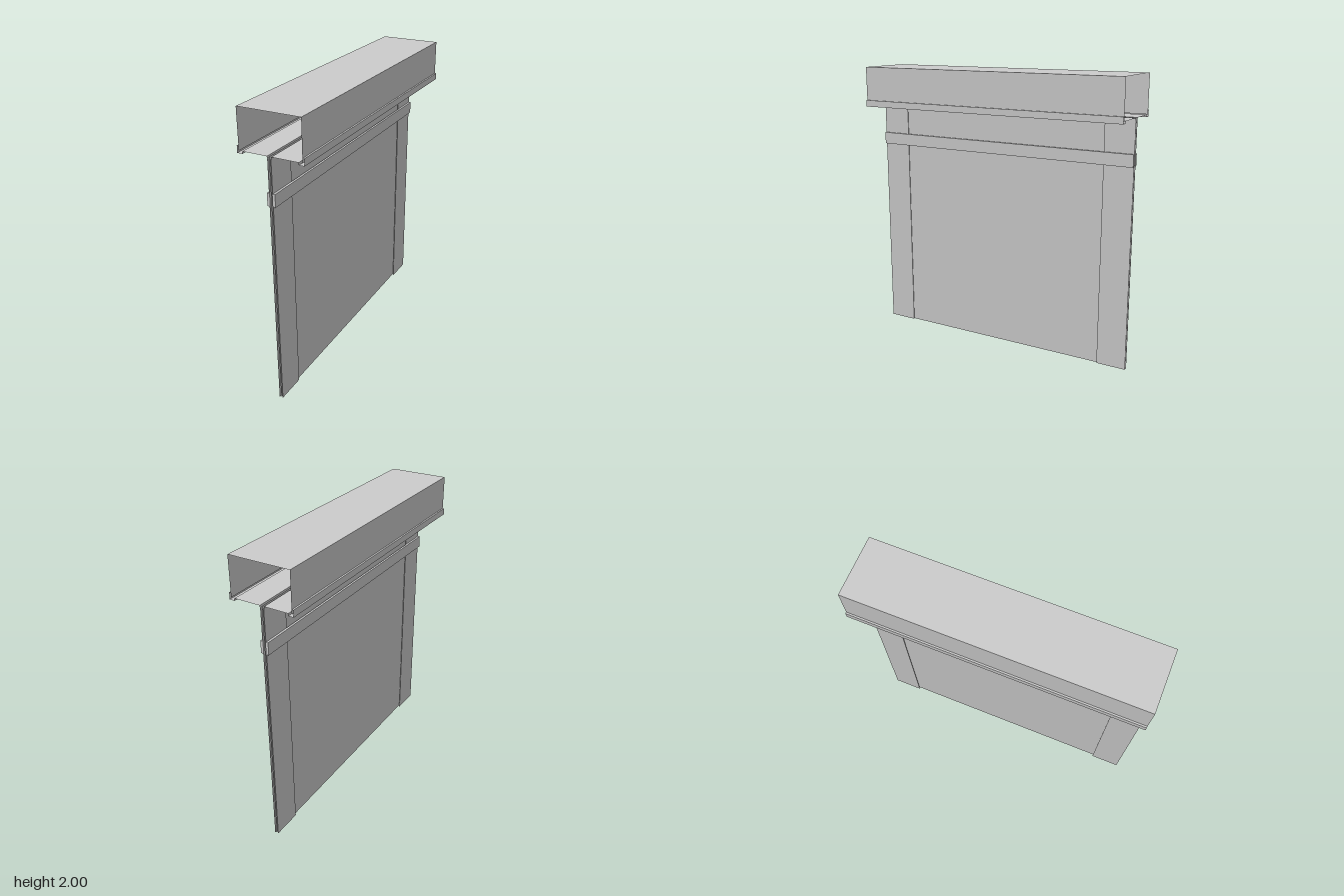
import * as THREE from 'three';

const LENGTH = 2;
const AXIS = -0.007; // middle plane of the curtain and its guides

const material = new THREE.MeshStandardMaterial({ color: 0xcccccc, flatShading: true });
const sheetMaterial = new THREE.MeshStandardMaterial({ color: 0xcccccc, flatShading: true, side: THREE.DoubleSide });

// Folded sheet: an open profile of [x, y] points swept along z
function foldedSheet(name, profile) {
  const h = LENGTH / 2;
  const positions = [];
  for (let i = 0; i < profile.length - 1; i++) {
    const [ax, ay] = profile[i];
    const [bx, by] = profile[i + 1];
    positions.push(ax, ay, h, bx, by, h, bx, by, -h);
    positions.push(ax, ay, h, bx, by, -h, ax, ay, -h);
  }
  const geometry = new THREE.BufferGeometry();
  geometry.setAttribute('position', new THREE.Float32BufferAttribute(positions, 3));
  geometry.computeVertexNormals();
  const mesh = new THREE.Mesh(geometry, sheetMaterial);
  mesh.name = name;
  return mesh;
}

// Box given by its limits on each axis
function slab(name, x0, x1, y0, y1, z0, z1) {
  const mesh = new THREE.Mesh(new THREE.BoxGeometry(x1 - x0, y1 - y0, z1 - z0), material);
  mesh.position.set((x0 + x1) / 2, (y0 + y1) / 2, (z0 + z1) / 2);
  mesh.name = name;
  return mesh;
}

export function createModel() {
  const group = new THREE.Group();
  group.name = 'rollerShutter';

  // Open-ended casing around the roller
  group.add(foldedSheet('casing', [[0.215, 1.73], [0.215, 2], [-0.215, 2], [-0.215, 1.73]]));

  for (const side of [1, -1]) {
    // Edge rail along the foot of the casing wall, running into the floor and slot lip
    group.add(foldedSheet('casingFloor', [
      [side * 0.215, 1.76], [side * 0.227, 1.76], [side * 0.227, 1.714],
      [side * 0.19, 1.714], [side * 0.19, 1.73],
      [AXIS + side * 0.015, 1.73], [AXIS + side * 0.015, 1.714],
    ]));

    // Guide plates on both faces of the curtain, at each end
    const [px0, px1] = [AXIS + side * 0.009, AXIS + side * 0.013].sort((a, b) => a - b);
    for (const end of [1, -1]) {
      const [z0, z1] = [end * 0.79, end].sort((a, b) => a - b);
      group.add(slab('guidePlate', px0, px1, 0, 1.714, z0, z1));
    }

    // Lintel bar across the full width
    const [bx0, bx1] = [AXIS + side * 0.013, AXIS + side * 0.028].sort((a, b) => a - b);
    group.add(slab('lintelBar', bx0, bx1, 1.413, 1.498, -1, 1));
  }

  // Thin curtain held between the guides
  group.add(foldedSheet('curtain', [[AXIS, 0], [AXIS, 1.73]]));

  return group;
}
